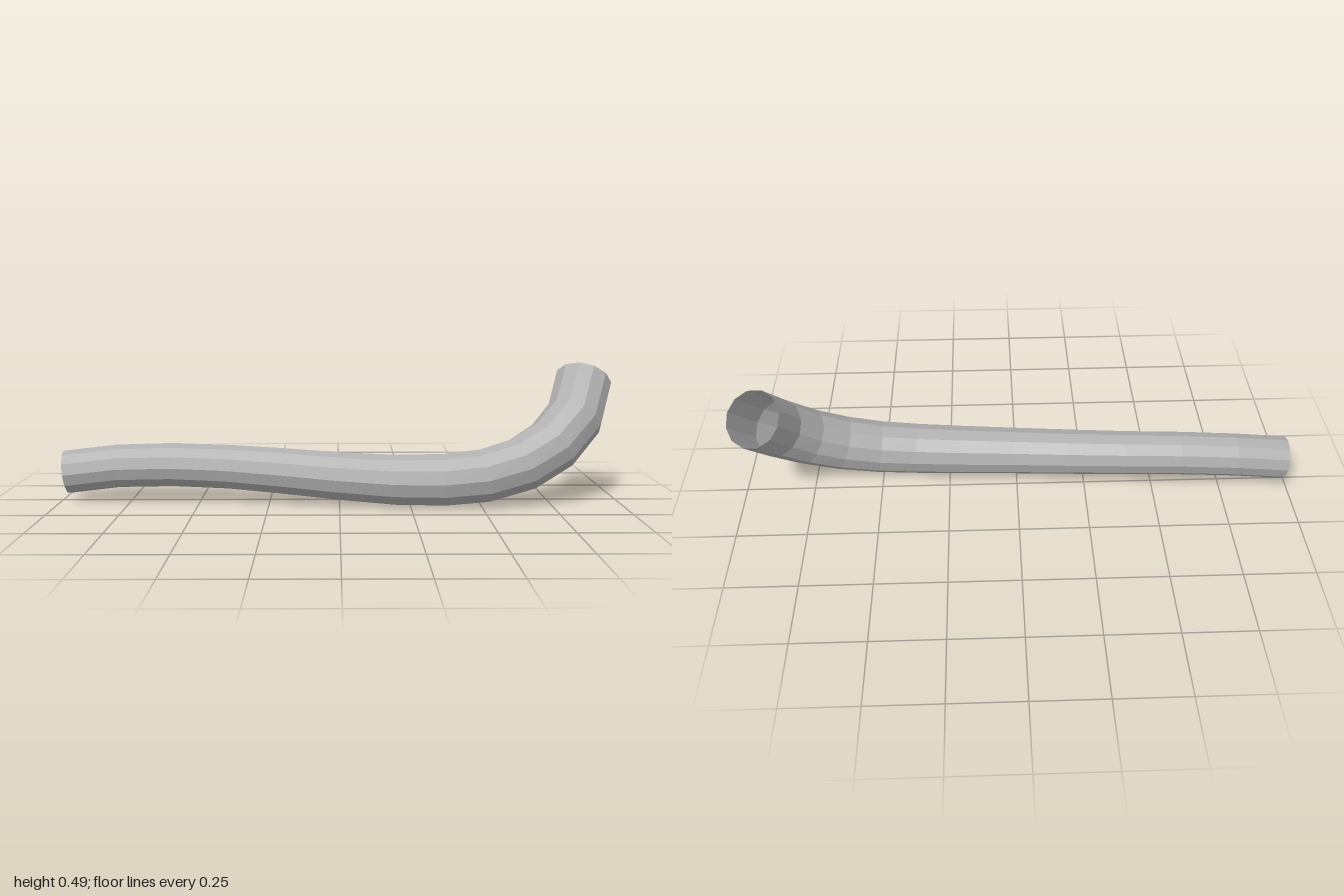
import * as THREE from 'three';

// Centre line stations: x, y, z, radius
const STATIONS = [
  [-0.985, 0.107, -0.004, 0.078],
  [-0.8, 0.128, -0.008, 0.078],
  [-0.6, 0.134, 0.0, 0.079],
  [-0.4, 0.129, 0.016, 0.08],
  [-0.2, 0.118, 0.042, 0.083],
  [0.0, 0.105, 0.072, 0.086],
  [0.2, 0.096, 0.096, 0.09],
  [0.37, 0.098, 0.107, 0.093],
  [0.51, 0.112, 0.105, 0.096],
  [0.645, 0.15, 0.086, 0.099],
  [0.757, 0.212, 0.048, 0.101],
  [0.845, 0.3, -0.014, 0.103],
  [0.9, 0.425, -0.125, 0.103],
];
const SIDES = 12;

// Open tube of rings that follow the centre line without twisting
function taperedTube(stations, sides) {
  const centres = stations.map(([x, y, z]) => new THREE.Vector3(x, y, z));
  const last = centres.length - 1;
  const positions = [];
  const indices = [];
  const normal = new THREE.Vector3(0, -1, 0);
  centres.forEach((centre, i) => {
    const before = centre.clone().sub(centres[Math.max(i - 1, 0)]).normalize();
    const after = centres[Math.min(i + 1, last)].clone().sub(centre).normalize();
    const tangent = before.add(after).normalize();
    normal.addScaledVector(tangent, -normal.dot(tangent)).normalize();
    const side = new THREE.Vector3().crossVectors(tangent, normal);
    for (let j = 0; j < sides; j++) {
      const a = (j / sides) * Math.PI * 2;
      const p = centre.clone()
        .addScaledVector(normal, Math.cos(a) * stations[i][3])
        .addScaledVector(side, Math.sin(a) * stations[i][3]);
      positions.push(p.x, p.y, p.z);
      if (i < last) {
        const k = (j + 1) % sides;
        const p0 = i * sides + j, p1 = i * sides + k;
        indices.push(p0, p1, p0 + sides, p1, p1 + sides, p0 + sides);
      }
    }
  });
  const indexed = new THREE.BufferGeometry();
  indexed.setAttribute('position', new THREE.Float32BufferAttribute(positions, 3));
  indexed.setIndex(indices);
  const faceted = indexed.toNonIndexed();
  faceted.computeVertexNormals();
  return faceted;
}

export function createModel() {
  const group = new THREE.Group();
  group.name = 'bentPipe';
  const grey = new THREE.MeshStandardMaterial({
    name: 'grey metal', color: 0xb0b0b0, flatShading: true, side: THREE.DoubleSide,
  });
  const pipe = new THREE.Mesh(taperedTube(STATIONS, SIDES), grey);
  pipe.name = 'pipe';
  group.add(pipe);
  return group;
}
